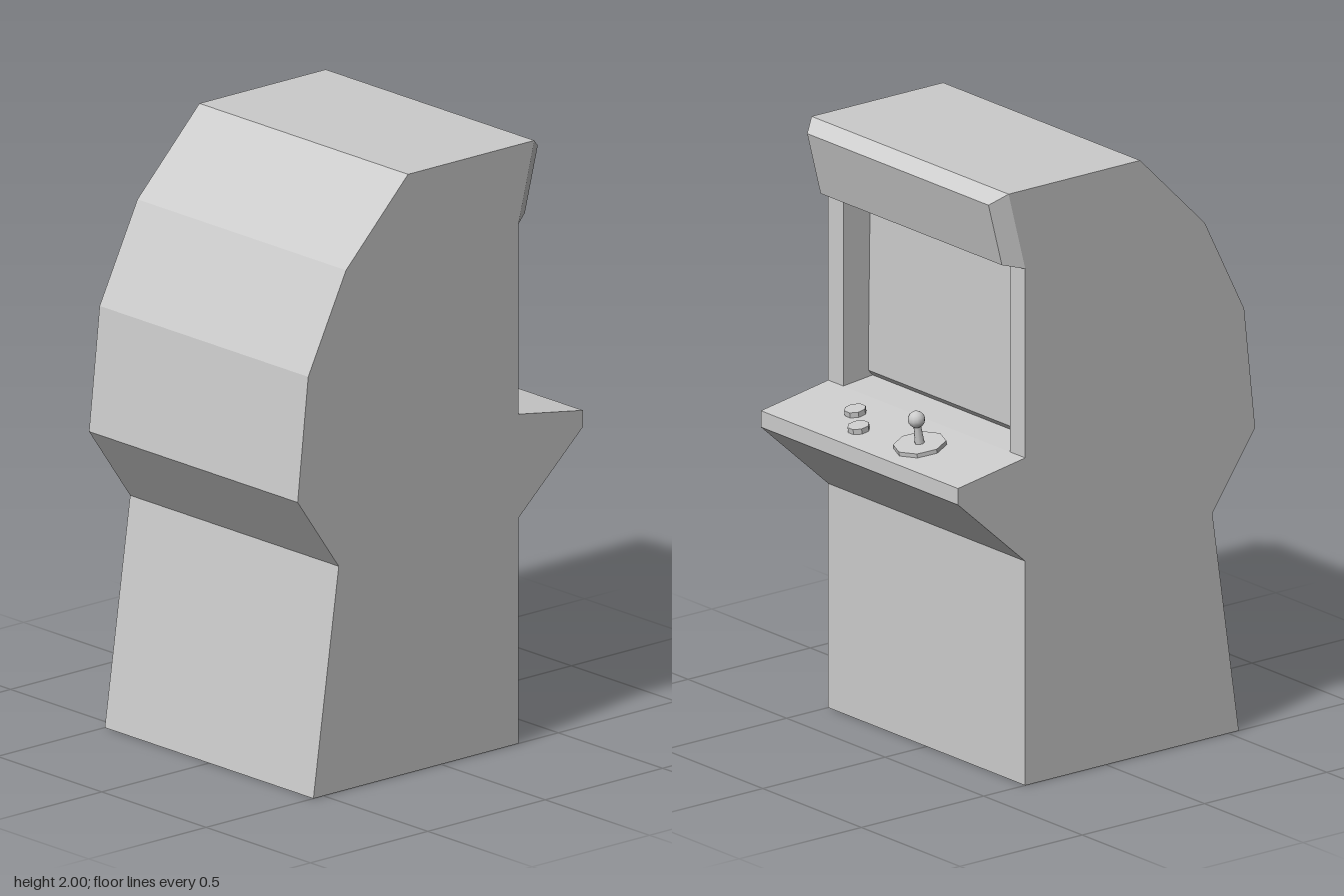
import * as THREE from 'three';
import { mergeGeometries } from 'three/addons/utils/BufferGeometryUtils.js';
import { ConvexGeometry } from 'three/addons/geometries/ConvexGeometry.js';

const grey = new THREE.MeshStandardMaterial({ color: 0xcccccc });
const flat = new THREE.MeshStandardMaterial({ color: 0xcccccc, flatShading: true });
const HALF = 0.5;       // half width of the cabinet
const OPENING = 0.423;  // half width of the screen opening

// Side profiles as [z, y], counterclockwise; the player stands at -z
const skin = [
  [-0.33, 1.10], [-0.605, 1.055], [-0.605, 1.0], [-0.33, 0.753], [-0.33, 0],
  [0.543, 0], [0.435, 0.753], [0.61, 1.003], [0.565, 1.413], [0.404, 1.735],
  [0.14, 2], [-0.398, 2], [-0.33, 1.735],
];
const recess = [[-0.33, 1.735], [-0.22, 1.73], [-0.228, 1.132], [-0.21, 1.112], [-0.33, 1.10]];

// Sweeps an open profile straight across x, one flat quad per segment
function strip(points, x0, x1) {
  const pos = [];
  for (let i = 0; i < points.length - 1; i++) {
    const [az, ay] = points[i], [bz, by] = points[i + 1];
    pos.push(x0, ay, az, x1, ay, az, x1, by, bz);
    pos.push(x0, ay, az, x1, by, bz, x0, by, bz);
  }
  const geo = new THREE.BufferGeometry();
  geo.setAttribute('position', new THREE.Float32BufferAttribute(pos, 3));
  geo.computeVertexNormals();
  return geo;
}

// Fills a profile at a given x, facing +x (dir 1) or -x (dir -1)
function cap(points, x, dir) {
  const shape = new THREE.Shape(points.map(([z, y]) => new THREE.Vector2(-dir * z, y)));
  const geo = new THREE.ShapeGeometry(shape).toNonIndexed();
  geo.deleteAttribute('uv');
  return geo.rotateY(dir * Math.PI / 2).translate(x, 0, 0);
}

function add(parent, name, geo, x = 0, y = 0, z = 0, material = flat) {
  const mesh = new THREE.Mesh(geo, material);
  mesh.name = name;
  mesh.position.set(x, y, z);
  parent.add(mesh);
  return mesh;
}

export function createModel() {
  const model = new THREE.Group();
  model.name = 'arcadeCabinet';

  // Cabinet shell with the two posts beside the screen
  const post = [[-0.33, 1.735], [-0.33, 1.10]];
  add(model, 'cabinet', mergeGeometries([
    strip(skin, -HALF, HALF),
    strip(post, -HALF, -OPENING),
    strip(post, OPENING, HALF),
    cap(skin, HALF, 1),
    cap(skin, -HALF, -1),
  ]));

  // Recessed screen with its side walls
  add(model, 'screenRecess', mergeGeometries([
    strip(recess, -OPENING, OPENING),
    cap(recess, OPENING, -1),
    cap(recess, -OPENING, 1),
  ]));

  // Bevelled sign box above the screen
  const corners = [];
  for (const s of [-1, 1]) {
    corners.push(
      new THREE.Vector3(s * HALF, 2, -0.398), new THREE.Vector3(s * HALF, 1.735, -0.33),
      new THREE.Vector3(s * 0.46, 1.963, -0.448), new THREE.Vector3(s * 0.46, 1.75, -0.393));
  }
  add(model, 'marquee', new ConvexGeometry(corners));

  // Controls, laid out on the tilted panel
  const controls = new THREE.Group();
  controls.name = 'controls';
  controls.position.set(0, 1.10, -0.33);
  controls.rotation.x = -Math.atan2(0.045, 0.275);
  model.add(controls);

  add(controls, 'joystickBase', new THREE.CylinderGeometry(0.086, 0.086, 0.014, 8), -0.147, 0.007, -0.147);
  add(controls, 'joystickShaft', new THREE.CylinderGeometry(0.011, 0.016, 0.08, 8), -0.147, 0.05, -0.147, grey);
  add(controls, 'joystickBall', new THREE.SphereGeometry(0.028, 12, 8), -0.147, 0.096, -0.147, grey);
  for (const [x, z] of [[0.118, -0.184], [0.227, -0.109]]) {
    const button = new THREE.CylinderGeometry(0.036, 0.036, 0.018, 8).rotateY(Math.PI / 8);
    add(controls, 'button', button, x, 0.009, z);
  }
  return model;
}
